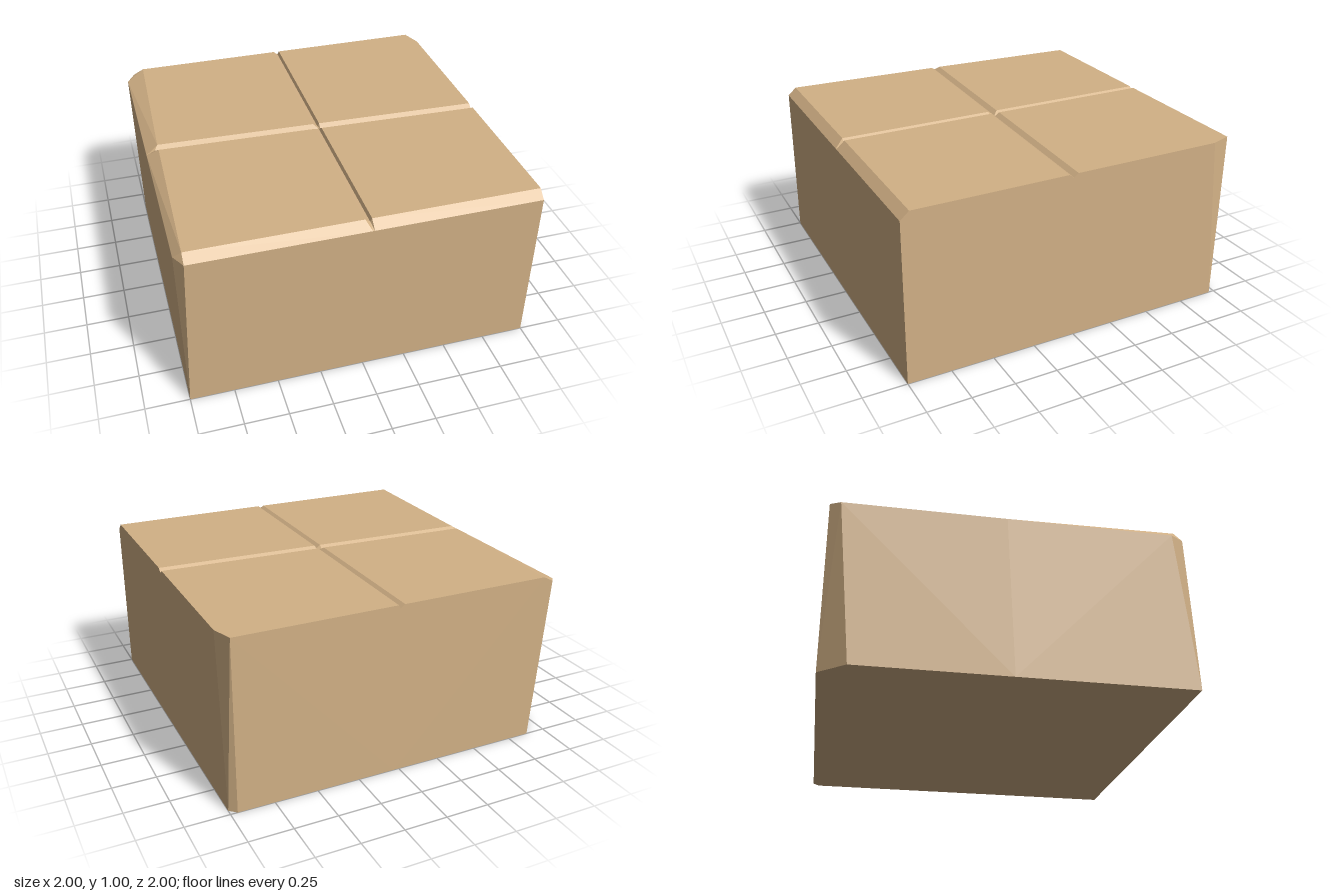
import * as THREE from 'three';

// Chipped paving block with two shallow V grooves crossing on top
export function createModel() {
  const stone = new THREE.MeshStandardMaterial({ color: 0xd2b186 });
  stone.name = 'sandstone';
  const group = new THREE.Group();
  group.name = 'stoneBlock';

  // Flat polygons, each fanned from its first corner
  const addPart = (name, polygons) => {
    const data = [];
    for (const p of polygons) {
      for (let k = 1; k < p.length - 1; k++) data.push(...p[0], ...p[k], ...p[k + 1]);
    }
    const geometry = new THREE.BufferGeometry();
    geometry.setAttribute('position', new THREE.Float32BufferAttribute(data, 3));
    geometry.computeVertexNormals();
    const mesh = new THREE.Mesh(geometry, stone);
    mesh.name = name;
    group.add(mesh);
  };

  // Top grid: columns i run left edge to right edge, rows j run back to front
  const innerX = [-0.89, -0.93, -0.95, -0.93, -0.955, -0.955];
  const outerZ = [-0.94, -0.03, -0.03, -0.03, 0.92, 0.92];
  const columnX = [-1, 0, 0, 0.027, 0.037, 1];
  const rowOffset = [0, -0.027, 0, 0.028];
  const P = (i, j) => {
    if (i === 0) return [-1, 0.955, outerZ[j]];
    const x = i === 1 ? innerX[j] : columnX[i];
    let z = 0.0025 + 0.0325 * x + rowOffset[j];
    if (j === 0) z = i === 5 ? -0.88 : -1;
    if (j === 4) z = 0.95;
    if (j === 5) z = 1;
    const y = j === 5 ? 0.955 : i === 3 || j === 2 ? 0.98 : 1;
    return [x, y, z];
  };
  const line = [0, 1, 2, 3, 4, 5];

  // Corners left by the chipped vertical edges
  const backLeftTop = [-0.95, 0.97, -1];
  const backLeftA = [-0.88, 0, -1];
  const backLeftB = [-1, 0, -0.85];
  const backRightTop = [0.96, 1, -1];
  const backRightA = [0.96, 0, -1];
  const backRightB = [1, 0, -0.965];
  const frontLeft = [-1, 0, 1];
  const frontRight = [1, 0, 1];

  // Top slabs, grooves and top bevels
  const top = [
    [P(4, 0), P(5, 0), backRightTop],
    [P(1, 0), backLeftTop, P(0, 0)],
  ];
  for (let i = 0; i < 5; i++) {
    for (let j = 0; j < 5; j++) top.push([P(i, j), P(i, j + 1), P(i + 1, j + 1), P(i + 1, j)]);
  }
  addPart('groovedTop', top);

  // Side walls, fanned from the middle of their lower edges
  addPart('frontWall', [[[0.03, 0, 1], frontRight,
    ...[5, 4, 3, 2, 1].map((i) => P(i, 5)), frontLeft]]);
  addPart('backWall', [[[0.03, 0, -1], backLeftA, backLeftTop,
    ...[1, 2, 3, 4].map((i) => P(i, 0)), backRightTop, backRightA]]);
  addPart('rightWall', [[[1, 0, 0.035], backRightB, ...line.map((j) => P(5, j)), frontRight]]);
  addPart('leftWall', [[[-1, 0, 0], frontLeft, P(0, 5), P(0, 1), P(0, 0), backLeftB]]);

  // Chipped vertical edges
  addPart('chippedEdges', [
    [frontLeft, P(1, 5), P(0, 5)],
    [backRightB, backRightA, backRightTop, P(5, 0)],
    [backLeftA, backLeftB, P(0, 0), backLeftTop],
  ]);

  // Underside
  addPart('base', [[backLeftB, backLeftA, backRightA, backRightB, frontRight, frontLeft]]);
  return group;
}
